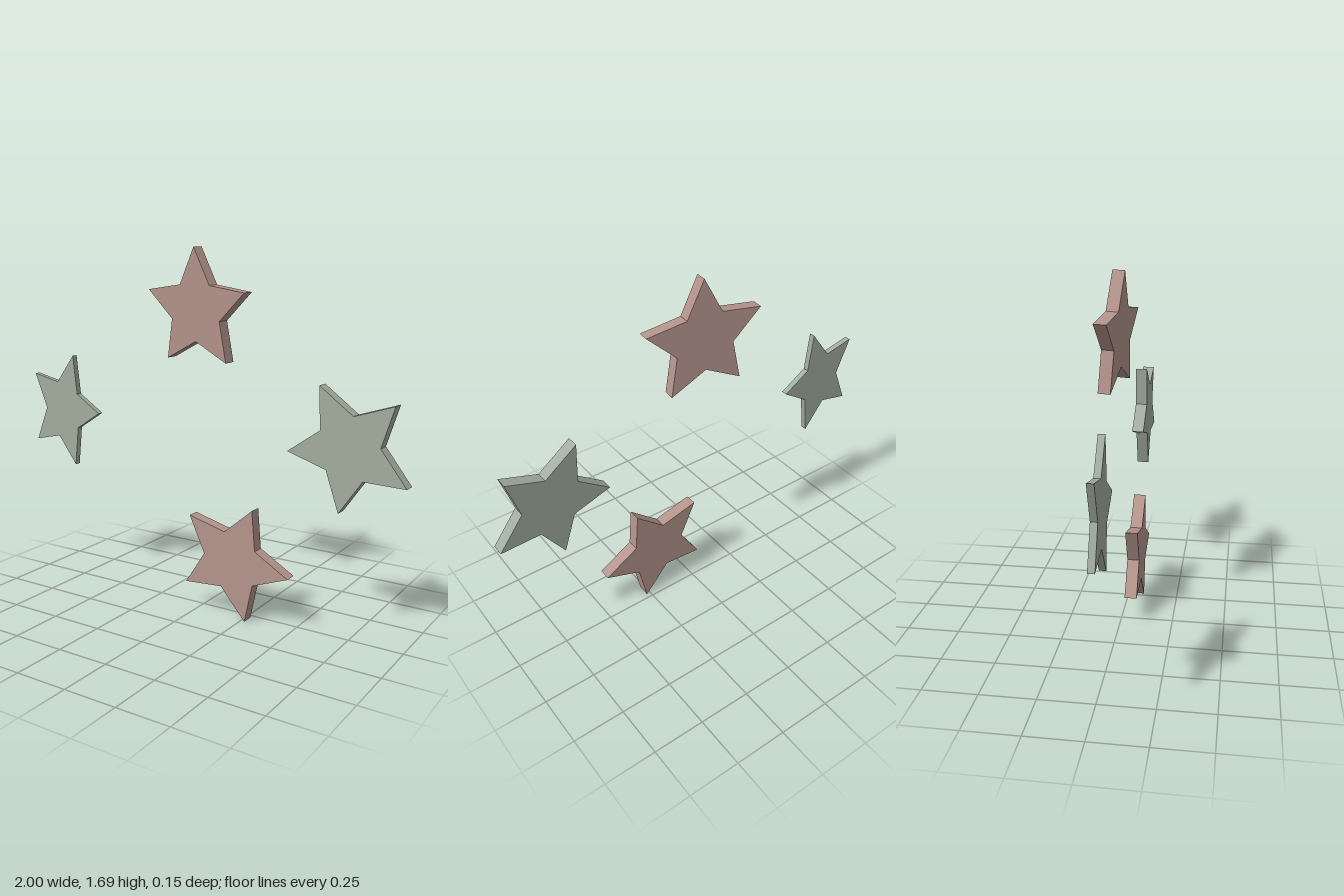
import * as THREE from 'three';

// Unit five-pointed star, one tip up, inner radius half the outer, centred in depth
function starGeometry() {
  const shape = new THREE.Shape();
  for (let i = 0; i < 10; i++) {
    const r = i % 2 ? 0.5 : 1;
    const a = Math.PI / 2 + (i * Math.PI) / 5;
    const x = r * Math.cos(a), y = r * Math.sin(a);
    if (i === 0) shape.moveTo(x, y);
    else shape.lineTo(x, y);
  }
  shape.closePath();
  const geometry = new THREE.ExtrudeGeometry(shape, { depth: 1, bevelEnabled: false });
  geometry.translate(0, 0, -0.5);
  return geometry;
}

export function createModel() {
  const group = new THREE.Group();
  group.name = 'starCluster';
  const geometry = starGeometry();
  const pink = new THREE.MeshStandardMaterial({ color: 0xb5958d, flatShading: true });
  const green = new THREE.MeshStandardMaterial({ color: 0xa3ad9f, flatShading: true });

  // size: half-width, tip length, thickness; turn: direction of the main tip in degrees
  const stars = [
    { name: 'topStar', material: pink, at: [-0.039, 1.406, -0.018], size: [0.292, 0.282, 0.057], turn: 90, tilt: [0.04, -0.114] },
    { name: 'bottomStar', material: pink, at: [0.197, 0.277, 0.05], size: [0.293, 0.28, 0.058], turn: 67.6 },
    { name: 'leftStar', material: green, at: [0.738, 0.863, 0.018], size: [0.293, 0.28, 0.058], turn: 45.4 },
    { name: 'rightStar', material: green, at: [-0.816, 0.882, 0.032], size: [0.292, 0.227, 0.029], turn: 0 },
  ];

  for (const { name, material, at, size, turn, tilt = [0, 0] } of stars) {
    const star = new THREE.Mesh(geometry, material);
    star.name = name;
    star.position.set(...at);
    star.scale.set(...size);
    star.rotation.set(tilt[0], tilt[1], THREE.MathUtils.degToRad(turn - 90));
    group.add(star);
  }
  return group;
}
